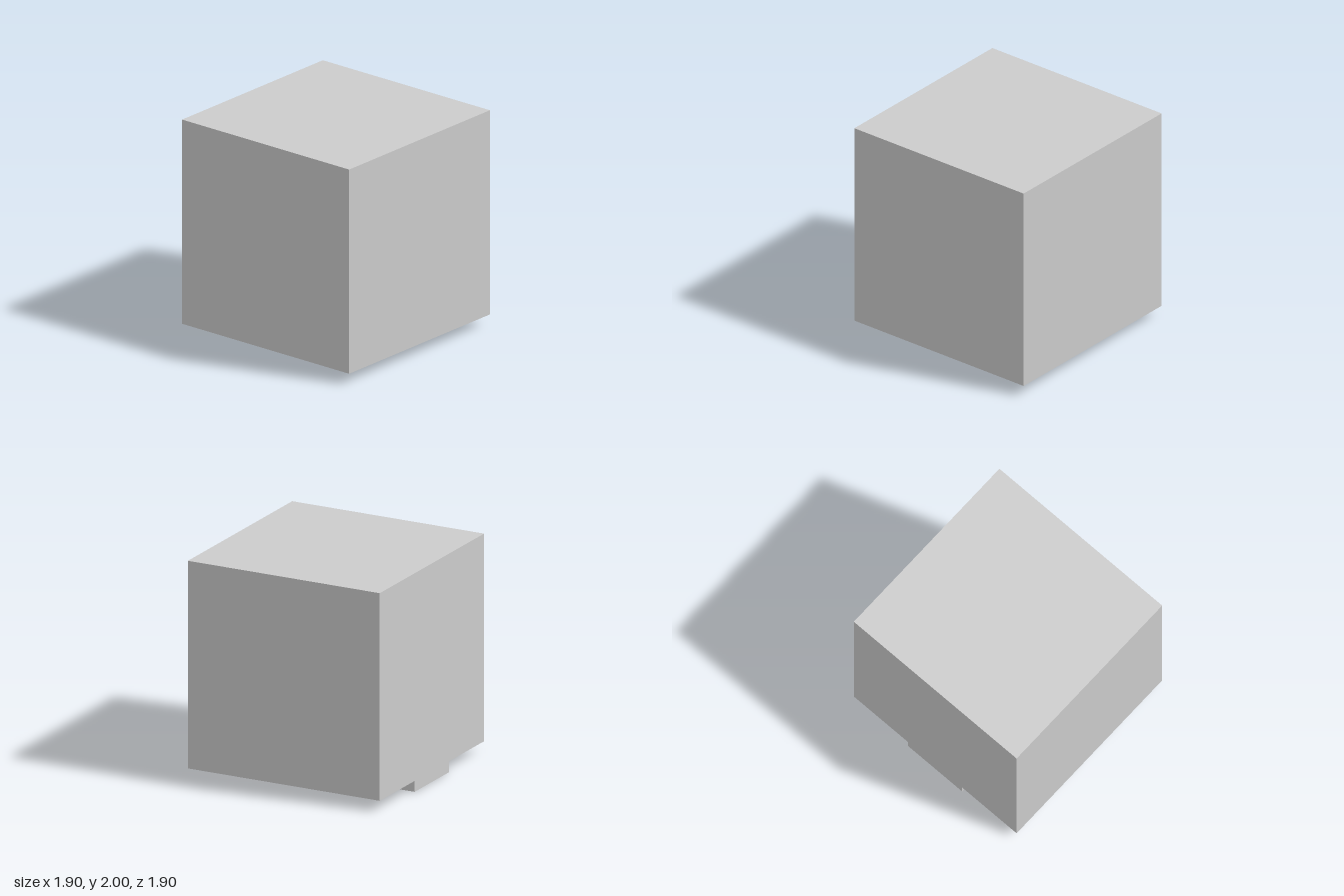
import * as THREE from 'three';

export function createModel() {
  const model = new THREE.Group();
  const material = new THREE.MeshStandardMaterial({ color: 0xcccccc, flatShading: true });

  // Box given by its extents along each axis
  function addBlock(name, [x0, x1], [y0, y1], [z0, z1]) {
    const mesh = new THREE.Mesh(new THREE.BoxGeometry(x1 - x0, y1 - y0, z1 - z0), material);
    mesh.position.set((x0 + x1) / 2, (y0 + y1) / 2, (z0 + z1) / 2);
    mesh.name = name;
    model.add(mesh);
  }

  const base = 0.1; // underside of the body
  const half = 0.95;

  // Main cube
  addBlock('body', [-half, half], [base, 2], [-half, half]);

  // Large foot flush with the back face
  addBlock('backFoot', [-0.315, 0.315], [0, base], [-half, -0.418]);

  // Two shallow front feet of slightly different size
  addBlock('frontLeftFoot', [0.32, 0.71], [0.046, base], [0.296, 0.614]);
  addBlock('frontRightFoot', [-0.667, -0.318], [0.039, base], [0.296, 0.614]);

  return model;
}
